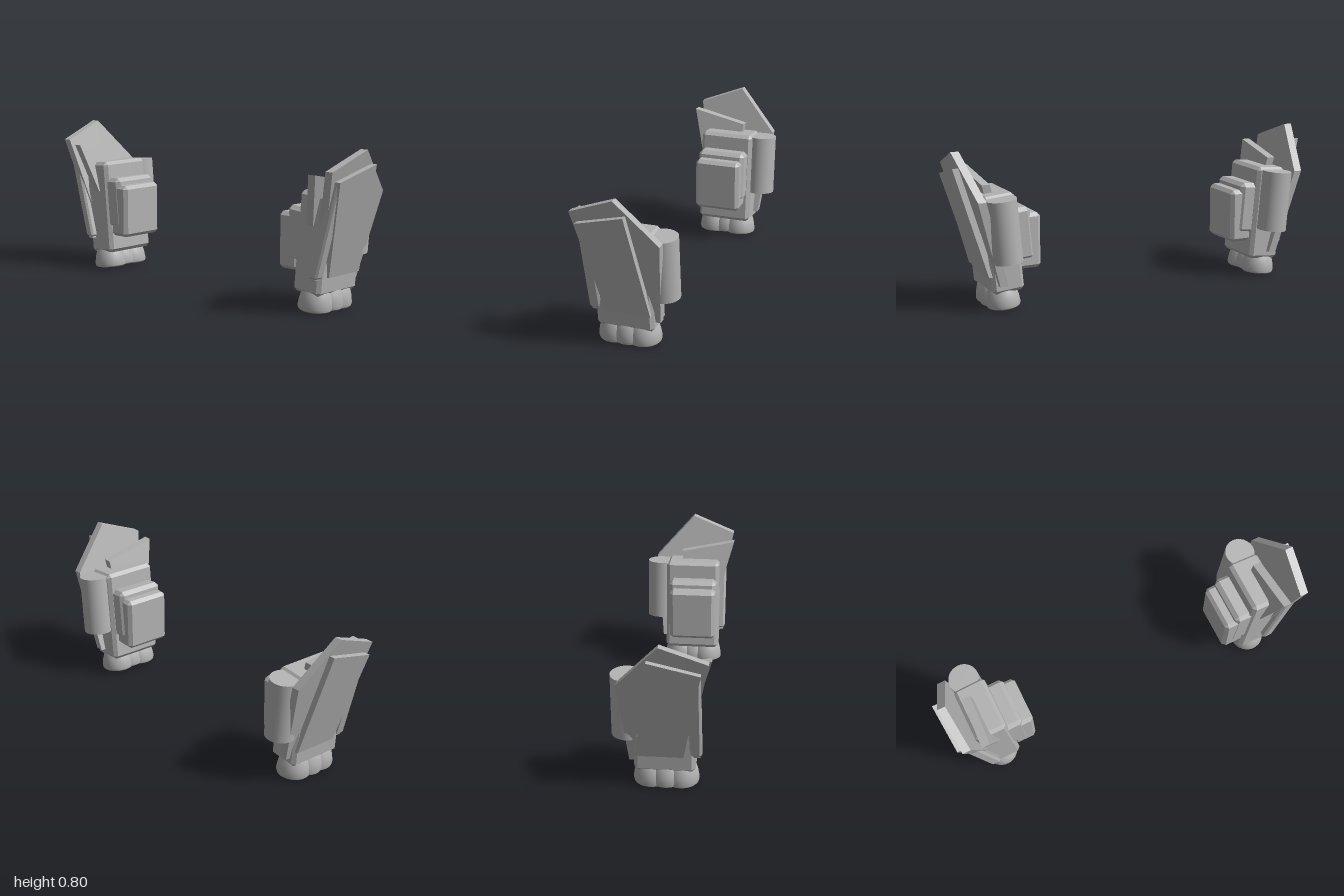
import * as THREE from 'three';
import { ConvexGeometry } from 'three/addons/geometries/ConvexGeometry.js';
import { toCreasedNormals } from 'three/addons/utils/BufferGeometryUtils.js';

const TILT = 0.09;   // outward lean of the body
const SPLAY = 0.277; // outward slope of the plates, x per y

export function createModel() {
  const grey = new THREE.MeshStandardMaterial({ color: 0xb4b4b4 });
  grey.name = 'plain grey';

  const add = (parent, name, geometry, x = 0, y = 0, z = 0) => {
    const mesh = new THREE.Mesh(geometry, grey);
    mesh.name = name;
    mesh.position.set(x, y, z);
    parent.add(mesh);
    return mesh;
  };

  // Box with chamfered edges, given by its min and max corners
  const chamferBox = (min, max, c) => {
    const points = [];
    const mid = min.map((m, i) => (m + max[i]) / 2);
    const half = min.map((m, i) => (max[i] - m) / 2);
    for (const sx of [-1, 1]) for (const sy of [-1, 1]) for (const sz of [-1, 1]) {
      const s = [sx, sy, sz];
      for (let full = 0; full < 3; full++) {
        points.push(new THREE.Vector3(...s.map((k, i) => mid[i] + k * (half[i] - (i === full ? 0 : c)))));
      }
    }
    return new ConvexGeometry(points);
  };

  // Leans a geometry outward in proportion to height
  const splay = (geometry) => {
    const p = geometry.attributes.position;
    for (let i = 0; i < p.count; i++) p.setX(i, p.getX(i) + SPLAY * p.getY(i));
    geometry.computeVertexNormals();
    return geometry;
  };

  // Splayed plate from a [z, y] outline, between two x offsets
  const plate = (outline, x0, x1) => {
    const shape = new THREE.Shape(outline.map(([z, y]) => new THREE.Vector2(-z, y)));
    const g = new THREE.ExtrudeGeometry(shape, { depth: x1 - x0, bevelEnabled: false });
    g.rotateY(Math.PI / 2).translate(x0, 0, 0);
    return splay(g);
  };

  const buildPod = (name) => {
    const pod = new THREE.Group();
    pod.name = name;

    // Leaning body with its nozzles and cylinder
    const body = new THREE.Group();
    body.name = 'leaningBody';
    body.position.set(0.75, 0.018, 0);
    body.rotation.z = -TILT;
    pod.add(body);
    add(body, 'column', chamferBox([-0.1, 0.085, -0.13], [0.07, 0.588, 0.165], 0.018));
    add(body, 'innerStep', chamferBox([-0.18, 0.225, -0.11], [-0.06, 0.497, 0.155], 0.02));

    const profile = [[0, 0], [0.076, 0], [0.084, 0.006], [0.087, 0.02], [0.082, 0.055],
      [0.072, 0.092], [0.052, 0.125], [0.025, 0.145], [0, 0.15]].map(([r, y]) => new THREE.Vector2(r, y));
    const bell = toCreasedNormals(new THREE.LatheGeometry(profile, 32), 0.7);
    for (const [u, v, z] of [[-0.003, 0, 0.093], [0.003, 0.003, 0.019], [-0.003, 0, -0.053]]) {
      add(body, 'nozzle', bell, u, v, z);
    }
    add(body, 'rearCylinder', new THREE.CylinderGeometry(0.078, 0.078, 0.32, 32), -0.008, 0.417, -0.165);

    // Upright inner block
    add(pod, 'innerBlock', chamferBox([0.555, 0.207, -0.1], [0.68, 0.49, 0.153], 0.018));

    // Large wing plate with a raised outer panel
    add(pod, 'wing', plate([[0.12, 0.145], [-0.155, 0.145], [-0.2, 0.59], [0.005, 0.813], [0.235, 0.725]], 0.718, 0.761));
    add(pod, 'wingPanel', plate([[0.11, 0.19], [-0.12, 0.19], [-0.05, 0.74], [0.2, 0.675]], 0.755, 0.794));

    // Bar along the front edge of the wing
    add(pod, 'wingBar', splay(chamferBox([0.728, 0.19, 0.138], [0.784, 0.67, 0.197], 0.01)));
    add(pod, 'barTip', splay(chamferBox([0.738, 0.178, 0.146], [0.774, 0.21, 0.189], 0.004)));

    // Smaller fin rising from the column
    add(pod, 'fin', plate([[0.17, 0.445], [-0.03, 0.45], [-0.05, 0.645], [0.243, 0.703]], 0.627, 0.67));
    return pod;
  };

  const model = new THREE.Group();
  model.name = 'podPair';
  const left = buildPod('leftPod');
  const right = buildPod('rightPod');
  right.scale.x = -1;
  model.add(left, right);
  return model;
}
